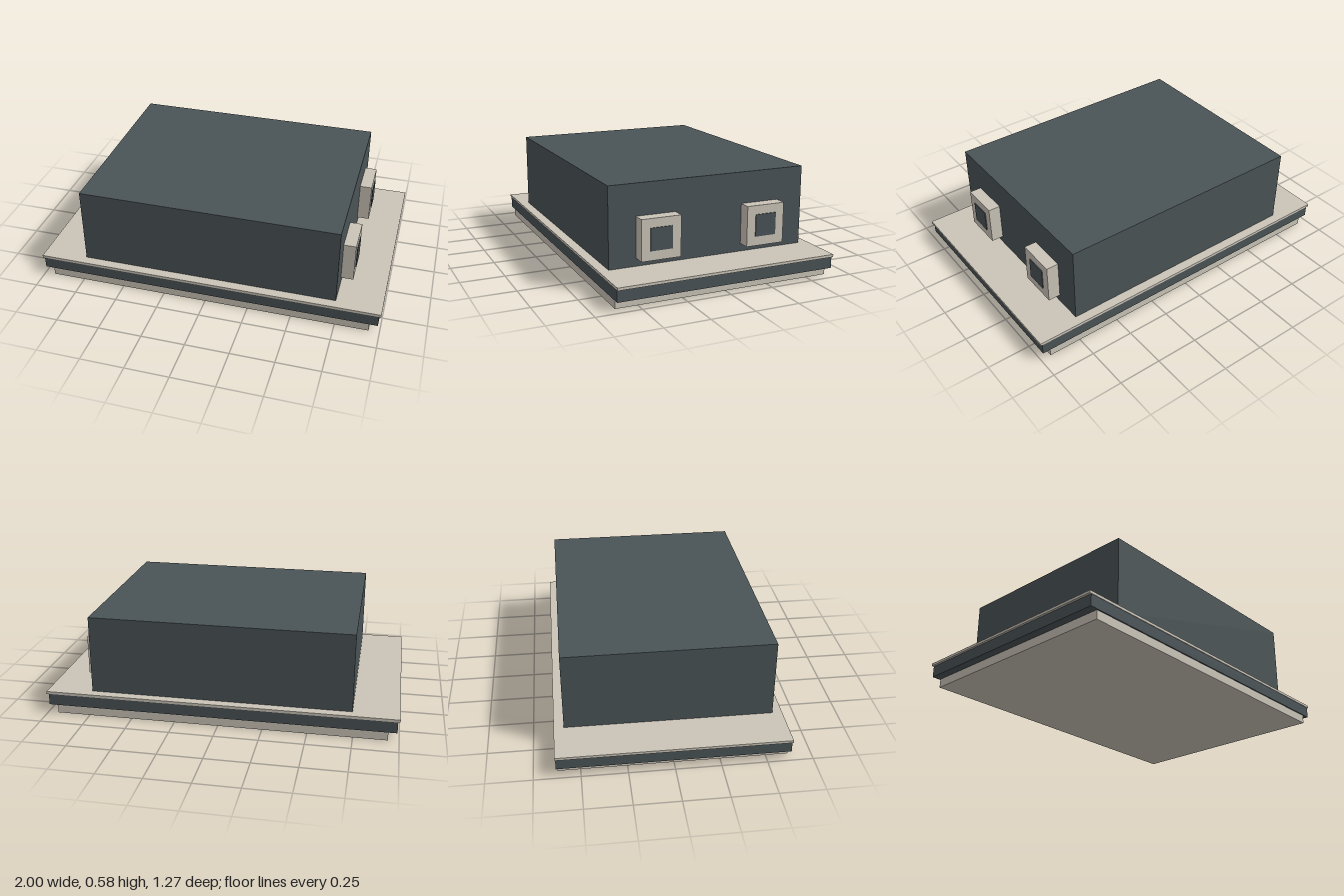
import * as THREE from 'three';

export function createModel() {
  const model = new THREE.Group();
  const slate = new THREE.MeshStandardMaterial({ color: 0x4a5356 });
  slate.name = 'slate';
  const stone = new THREE.MeshStandardMaterial({ color: 0xcac4b8 });
  stone.name = 'stone';

  // Box given by its lower and upper limits on each axis
  function block(name, material, [x0, x1], [y0, y1], [z0, z1], parent = model) {
    const mesh = new THREE.Mesh(new THREE.BoxGeometry(x1 - x0, y1 - y0, z1 - z0), material);
    mesh.position.set((x0 + x1) / 2, (y0 + y1) / 2, (z0 + z1) / 2);
    mesh.name = name;
    parent.add(mesh);
  }

  // Stepped base
  block('foundation', stone, [-0.94, 0.94], [0, 0.051], [-0.623, 0.623]);
  block('plinth', slate, [-0.988, 0.988], [0.051, 0.117], [-0.63, 0.63]);
  block('deckSlab', stone, [-1, 1], [0.117, 0.132], [-0.633, 0.633]);

  // Main body
  block('body', slate, [-0.742, 0.742], [0.132, 0.579], [-0.578, 0.578]);

  // Two framed panels on the +x wall
  for (const side of [1, -1]) {
    const panel = new THREE.Group();
    panel.name = side > 0 ? 'frontPanel' : 'rearPanel';
    panel.position.z = side * 0.311;
    block('panelFrame', stone, [0.742, 0.812], [0.176, 0.403], [-0.113, 0.113], panel);
    block('panelInset', slate, [0.812, 0.817], [0.229, 0.353], [-0.062, 0.062], panel);
    model.add(panel);
  }

  return model;
}
